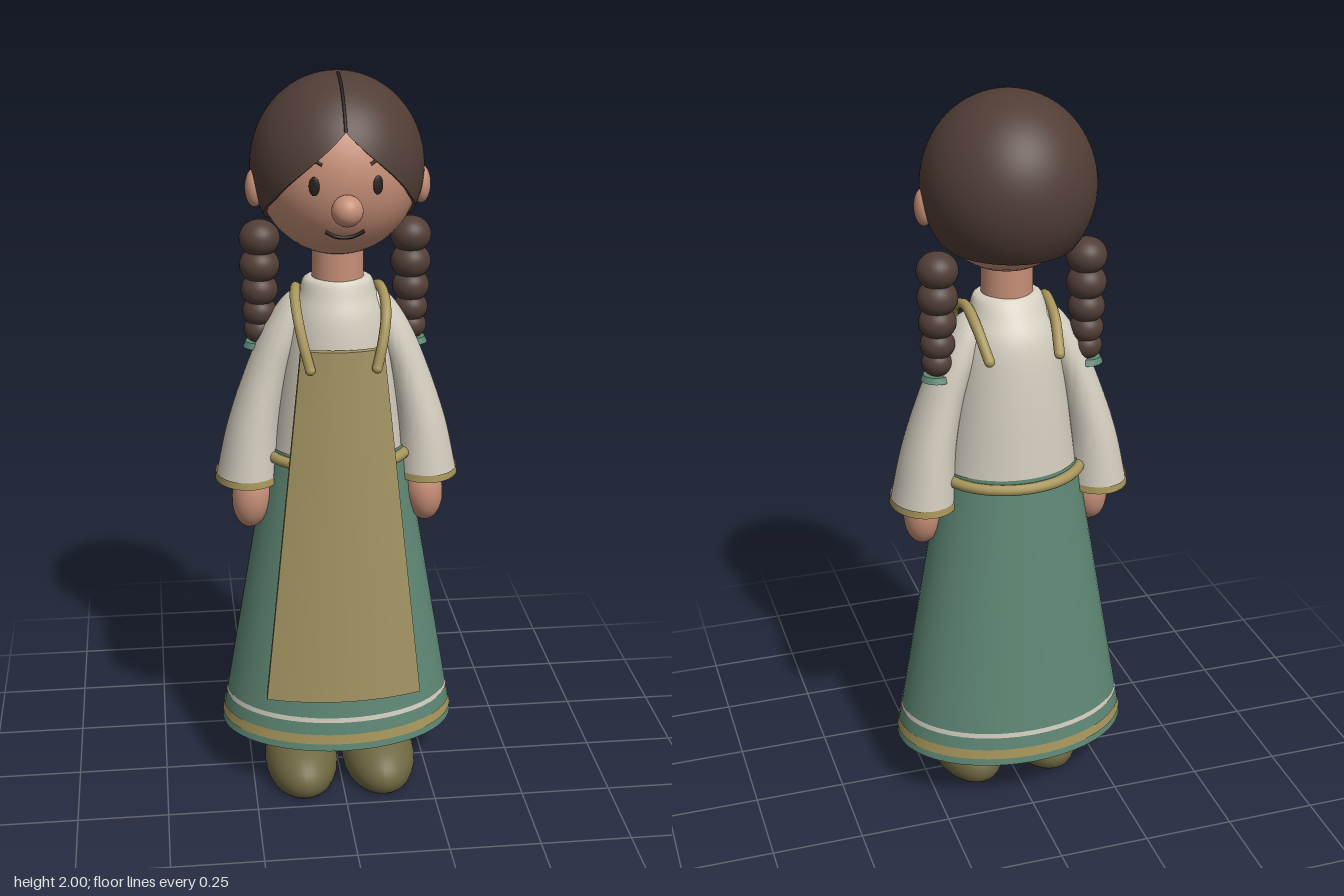
import * as THREE from 'three';
import { toCreasedNormals } from 'three/addons/utils/BufferGeometryUtils.js';

const mat = (name, color, side = THREE.FrontSide) =>
  Object.assign(new THREE.MeshStandardMaterial({ color, side }), { name });
const V = (x, y, z) => new THREE.Vector3(x, y, z);
const lerp = THREE.MathUtils.lerp;

// Surface from a rule p(u, v): u runs round, v runs down
function grid(p, nu, nv) {
  const pos = [], idx = [];
  for (let j = 0; j <= nv; j++)
    for (let i = 0; i <= nu; i++) pos.push(...p(i / nu, j / nv));
  for (let j = 0; j < nv; j++)
    for (let i = 0; i < nu; i++) {
      const a = j * (nu + 1) + i, b = a + nu + 1;
      idx.push(a, b, a + 1, b, b + 1, a + 1);
    }
  const g = new THREE.BufferGeometry();
  g.setAttribute('position', new THREE.Float32BufferAttribute(pos, 3));
  g.setIndex(idx);
  return toCreasedNormals(g, 0.8);
}

// Elliptical rings [y, centreX, centreZ, radiusX, radiusZ], from top to bottom
function loft(rings, steps = 24) {
  const curve = (f) => new THREE.CatmullRomCurve3(rings.map(f), false, 'catmullrom', 0.5);
  const centre = curve((r) => V(r[1], r[0], r[2]));
  const radius = curve((r) => V(r[3], 0, r[4]));
  return grid((u, v) => {
    const c = centre.getPoint(v), r = radius.getPoint(v), a = u * Math.PI * 2;
    return [c.x + r.x * Math.sin(a), c.y, c.z + r.z * Math.cos(a)];
  }, 48, steps);
}

function tube(points, r, closed = false) {
  const curve = new THREE.CatmullRomCurve3(points.map((p) => V(...p)), closed);
  return new THREE.TubeGeometry(curve, closed ? 64 : 20, r, 10, closed);
}

function ball(rx, ry, rz) {
  return new THREE.SphereGeometry(1, 32, 24).scale(rx, ry, rz);
}

export function createModel() {
  const model = new THREE.Group();
  model.name = 'doll';
  const skin = mat('skin', 0xc68f77);
  const hair = mat('hair', 0x513e36, THREE.DoubleSide);
  const dark = mat('darkLines', 0x2b211e);
  const cream = mat('creamCloth', 0xd5cfc0, THREE.DoubleSide);
  const green = mat('greenCloth', 0x5f8875, THREE.DoubleSide);
  const gold = mat('goldTrim', 0xa8965c, THREE.DoubleSide);
  const apronCloth = mat('apronCloth', 0xa39463);
  const shoeMat = mat('shoeLeather', 0x6f6842);

  const add = (name, geo, material, x = 0, y = 0, z = 0) => {
    const m = new THREE.Mesh(geo, material);
    m.name = name;
    m.position.set(x, y, z);
    model.add(m);
    return m;
  };

  // Head and neck
  const H = { y: 1.755, rx: 0.215, ry: 0.225, rz: 0.213 };
  const faceZ = (x, y) => H.rz * Math.sqrt(1 - (x / H.rx) ** 2 - ((y - H.y) / H.ry) ** 2);
  const onFace = (pts) => pts.map(([x, y]) => [x, y, faceZ(x, y) + 0.002]);
  add('head', ball(H.rx, H.ry, H.rz), skin, 0, H.y, 0);
  add('neck', new THREE.CylinderGeometry(0.068, 0.07, 0.18, 32), skin, 0, 1.49, 0);
  add('nose', ball(0.04, 0.04, 0.04), skin, 0, 1.692, 0.223);
  add('mouth', tube(onFace([[-0.05, 1.628], [-0.025, 1.614], [0, 1.61], [0.025, 1.614], [0.05, 1.628]]), 0.005), dark);

  // Hair cap: the lower edge is a height that depends on the angle from the front
  const edge = [[0, 1.88], [14, 1.83], [32, 1.77], [53, 1.70], [85, 1.63], [110, 1.605], [180, 1.6]];
  const edgeY = (a) => {
    const d = Math.abs(a) * 180 / Math.PI;
    const k = Math.max(1, edge.findIndex((e) => e[0] >= d - 1e-6));
    const [p, q] = [edge[k - 1], edge[k]];
    return lerp(p[1], q[1], (d - p[0]) / (q[0] - p[0]));
  };
  const C = { y: 1.76, z: -0.015, rx: 0.227, ry: 0.24, rz: 0.235 };
  const hairPoint = (a, phi) => [
    C.rx * Math.sin(phi) * Math.sin(a), C.y + C.ry * Math.cos(phi), C.z + C.rz * Math.sin(phi) * Math.cos(a)];
  const endPhi = (a) => Math.acos((edgeY(a) - C.y) / C.ry);
  const angle = (u) => (u * 2 - 1) * Math.PI;
  add('hairCap', grid((u, v) => hairPoint(angle(u), v * endPhi(angle(u))), 96, 32), hair);
  add('hairEdge', grid((u, v) => {
    const a = angle(u), p = hairPoint(a, endPhi(a)), k = 1 - 0.15 * v;
    return [p[0] * k, p[1], p[2] * k];
  }, 96, 1), hair);
  const part = [];
  for (let i = 0; i <= 10; i++) part.push(hairPoint(0, lerp(0.1, endPhi(0), i / 10)));
  add('hairParting', tube(part, 0.004), dark);

  // Blouse
  add('blouse', loft([
    [1.467, 0, 0, 0.05, 0.05], [1.465, 0, 0, 0.088, 0.072], [1.42, 0, -0.008, 0.105, 0.098],
    [1.35, 0, -0.015, 0.132, 0.128], [1.2, 0, -0.018, 0.155, 0.145], [0.97, 0, -0.023, 0.185, 0.154]]), cream);

  // Skirt with hem bands
  const skirtRing = (y, grow = 0) => {
    const t = (0.98 - y) / 0.83;
    return [y, 0, -0.023, lerp(0.19, 0.332, t) + grow, lerp(0.155, 0.237, t) + grow];
  };
  add('skirt', loft([skirtRing(0.98), skirtRing(0.15)], 8), green);
  add('hemStripe', loft([skirtRing(0.25, 0.002), skirtRing(0.236, 0.002)], 1), cream);
  add('hemBand', loft([skirtRing(0.2, 0.003), skirtRing(0.172, 0.003)], 1), gold);

  // Belt
  const belt = [];
  for (let i = 0; i < 24; i++) {
    const a = i * Math.PI / 12;
    belt.push([0.195 * Math.sin(a), 0.975, -0.023 + 0.168 * Math.cos(a)]);
  }
  add('belt', tube(belt, 0.015, true), gold);

  // Apron: a tapered panel bowed round the front
  const apron = new THREE.BoxGeometry(2, 1, 0.02, 16, 12, 1);
  const ap = apron.attributes.position;
  for (let i = 0; i < ap.count; i++) {
    const u = ap.getX(i), t = ap.getY(i) + 0.5;
    ap.setXYZ(i, u * lerp(0.215, 0.11, t), 0.3 + t,
      lerp(0.195, 0.142, t) - lerp(0.038, 0.025, t) * u * u + ap.getZ(i));
  }
  apron.computeVertexNormals();
  add('apron', apron, apronCloth);

  for (const s of [-1, 1]) {
    const side = s > 0 ? 'left' : 'right';

    // Face details and ears
    const eye = add(side + 'Eye', ball(0.014, 0.024, 0.005), dark, s * 0.08, 1.75, faceZ(0.08, 1.75));
    eye.rotation.y = s * 0.39;
    add(side + 'Brow', tube(onFace([[s * 0.06, 1.803], [s * 0.078, 1.811], [s * 0.098, 1.803]]), 0.004), dark);
    add(side + 'Ear', ball(0.025, 0.05, 0.032), skin, s * 0.217, 1.71, 0.013);

    // Braid
    [[1.56, 0.055], [1.487, 0.054], [1.42, 0.05], [1.36, 0.046], [1.31, 0.042]].forEach(([y, r], i) =>
      add(`${side}Braid${i + 1}`, ball(r, r * 0.9, r), hair, s * (0.202 + i * 0.001), y, -0.053));
    add(side + 'BraidTie', new THREE.CylinderGeometry(0.036, 0.043, 0.016, 24), green, s * 0.208, 1.27, -0.053);

    // Shoulder strap
    add(side + 'Strap', tube([
      [s * 0.088, 1.255, 0.152], [s * 0.104, 1.32, 0.136], [s * 0.116, 1.385, 0.105], [s * 0.118, 1.425, 0.05],
      [s * 0.112, 1.437, 0], [s * 0.108, 1.41, -0.075], [s * 0.095, 1.335, -0.155]], 0.014), gold);
    for (const [x, y, z] of [[0.088, 1.255, 0.152], [0.095, 1.335, -0.155]])
      add(side + 'StrapEnd', ball(0.014, 0.014, 0.014), gold, s * x, y, z);

    // Wide sleeve with cuff and hand
    add(side + 'Sleeve', loft([
      [1.43, s * 0.09, -0.02, 0.005, 0.01], [1.405, s * 0.105, -0.02, 0.038, 0.05],
      [1.32, s * 0.143, -0.022, 0.056, 0.07], [1.2, s * 0.19, -0.024, 0.06, 0.08],
      [1.05, s * 0.228, -0.025, 0.072, 0.095], [0.9, s * 0.245, -0.025, 0.088, 0.107]], 30), cream);
    add(side + 'Cuff', loft([
      [0.917, s * 0.245, -0.025, 0.089, 0.109], [0.897, s * 0.245, -0.025, 0.091, 0.111]], 1), gold);
    const hand = add(side + 'Hand', ball(0.055, 0.092, 0.065), skin, s * 0.237, 0.852, 0.005);
    hand.rotation.z = s * 0.12;

    // Shoe: rounded upper with a flat sole
    const shoe = ball(0.104, 0.095, 0.185).translate(0, 0.045, 0);
    const sp = shoe.attributes.position;
    for (let i = 0; i < sp.count; i++) sp.setY(i, Math.max(0, sp.getY(i)));
    add(side + 'Shoe', toCreasedNormals(shoe, 0.6), shoeMat, s * 0.112, 0, 0.05);
  }
  return model;
}
